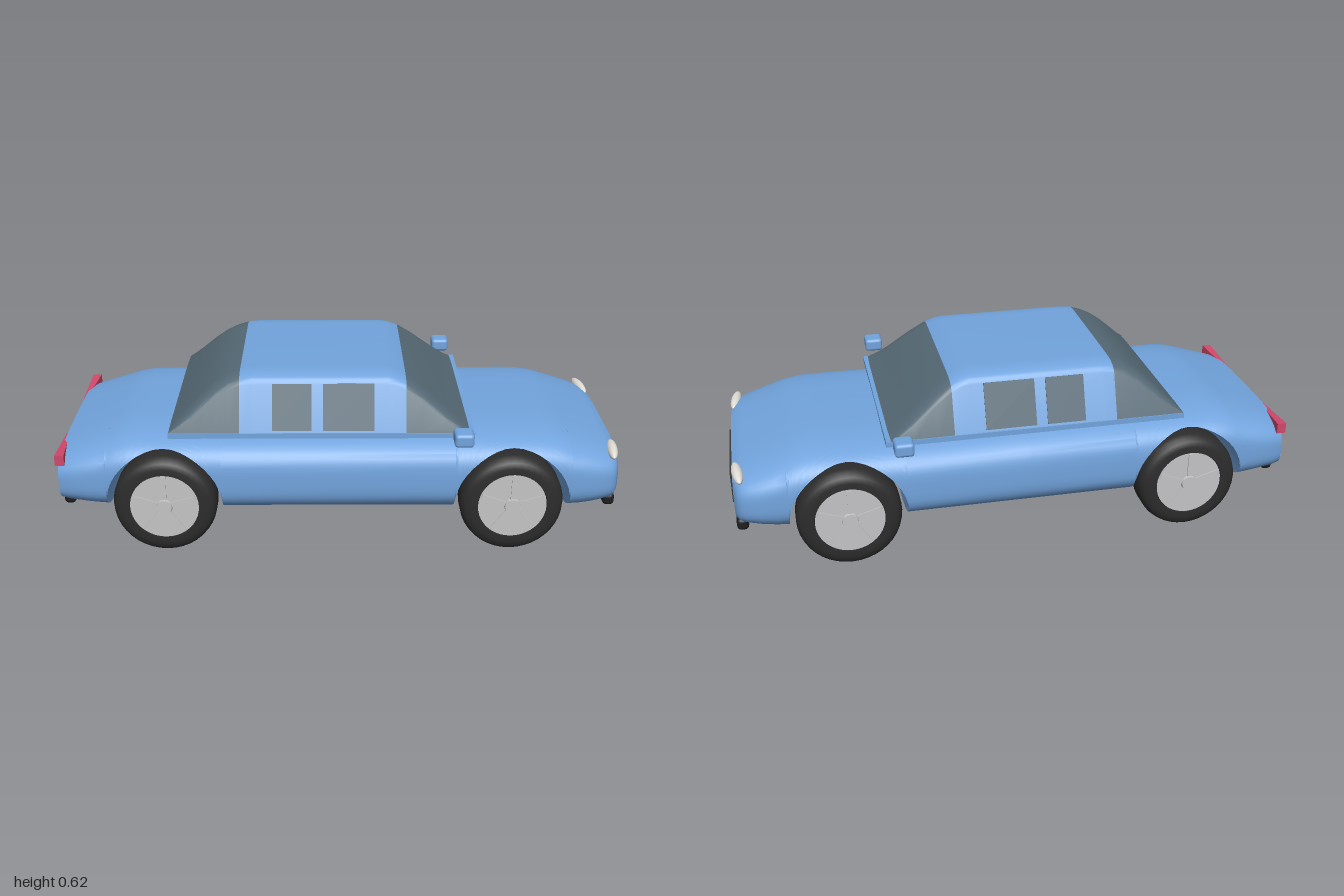
import * as THREE from 'three';
import { toCreasedNormals } from 'three/addons/utils/BufferGeometryUtils.js';
import { RoundedBoxGeometry } from 'three/addons/geometries/RoundedBoxGeometry.js';

const makeMaterial = (name, color) => {
  const m = new THREE.MeshStandardMaterial({ color });
  m.name = name;
  return m;
};

// piecewise-linear lookup through [x, value] pairs
function lookup(table, x) {
  for (let i = 1; i < table.length; i++) {
    const [x0, a] = table[i - 1], [x1, b] = table[i];
    if (x <= x1) return THREE.MathUtils.lerp(a, b, THREE.MathUtils.clamp((x - x0) / (x1 - x0), 0, 1));
  }
  return table[table.length - 1][1];
}

// skin closed rings of [x, y, z] that follow +x, with flat end caps
function loft(rings, crease = 0.6) {
  const n = rings[0].length, pos = rings.flat(2), index = [];
  for (let i = 0; i < rings.length - 1; i++) {
    for (let j = 0; j < n; j++) {
      const a = i * n + j, b = i * n + (j + 1) % n;
      index.push(a, a + n, b + n, a, b + n, b);
    }
  }
  [0, rings.length - 1].forEach((i) => {
    const centre = pos.length / 3;
    const mean = (k) => rings[i].reduce((s, p) => s + p[k], 0) / n;
    pos.push(mean(0), mean(1), mean(2));
    for (let j = 0; j < n; j++) {
      const a = i * n + j, b = i * n + (j + 1) % n;
      index.push(centre, ...(i === 0 ? [a, b] : [b, a]));
    }
  });
  const g = new THREE.BufferGeometry();
  g.setAttribute('position', new THREE.Float32BufferAttribute(pos, 3));
  g.setIndex(index);
  return toCreasedNormals(g, crease);
}

// half section [y, z] from bottom to top, mirrored into a ring
const mirrorRing = (x, half) => [
  ...half.map(([y, z]) => [x, y, z]),
  ...half.slice(0, -1).reverse().map(([y, z]) => [x, y, -z]),
];

// lower body
const AXLES = [-0.57, 0.615], ARCH_Y = 0.18, ARCH_R = 0.197;
const TOP = [[-0.93, 0.348], [-0.8, 0.39], [-0.73, 0.412], [-0.68, 0.42], [0.72, 0.42], [0.78, 0.41], [0.9, 0.37], [0.96, 0.35], [0.985, 0.335]];
const BOTTOM = [[-0.93, 0.15], [-0.77, 0.13], [-0.6, 0.12], [0.75, 0.12], [0.85, 0.127], [0.985, 0.15]];
const WIDTH = [[-0.93, 0.365], [-0.9, 0.378], [-0.83, 0.391], [-0.7, 0.402], [-0.5, 0.406], [0.7, 0.406], [0.82, 0.4], [0.9, 0.39], [0.95, 0.374], [0.97, 0.36], [0.985, 0.325]];

function bodyRing(x, cutY = 0) {
  const N = 28, E = 3.5;
  const top = lookup(TOP, x), bottom = lookup(BOTTOM, x), w = lookup(WIDTH, x);
  const low = Math.max(bottom, cutY), mid = (top + bottom) / 2, h = (top - bottom) / 2;
  const half = [];
  for (let k = 0; k <= N; k++) {
    const y = low + (top - low) * (1 - Math.cos(Math.PI * k / N)) / 2;
    const v = Math.min(1, Math.abs(y - mid) / h);
    half.push([y, w * Math.pow(1 - Math.pow(v, E), 1 / E)]);
  }
  return mirrorRing(x, half);
}

function bodyGeometry() {
  const rings = [-0.93, -0.9, -0.86, -0.83, -0.8].map((x) => bodyRing(x));
  AXLES.forEach((c, i) => {
    rings.push(bodyRing(c - ARCH_R));
    for (let k = 0; k <= 20; k++) {
      const a = Math.PI * (1 - k / 20);
      rings.push(bodyRing(c + ARCH_R * Math.cos(a), ARCH_Y + ARCH_R * Math.sin(a)));
    }
    rings.push(bodyRing(c + ARCH_R));
    if (i === 0) rings.push(bodyRing(0));
  });
  [0.85, 0.9, 0.93, 0.95, 0.96, 0.97, 0.985].forEach((x) => rings.push(bodyRing(x)));
  return loft(rings);
}

// cabin
const CABIN_BASE = 0.43, LEAN = 0.37;
const ROOF = [[-0.55, 0.432], [-0.51, 0.472], [-0.47, 0.51], [-0.43, 0.546], [-0.39, 0.576], [-0.35, 0.598], [-0.31, 0.612], [-0.27, 0.617],
  [0.19, 0.617], [0.22, 0.61], [0.25, 0.597], [0.305, 0.56], [0.385, 0.495], [0.44, 0.45], [0.465, 0.432]];
const sideZ = (y) => 0.365 - LEAN * (y - 0.42);

function cabinGeometry(x0, x1) {
  const xs = ROOF.map((p) => p[0]).filter((x) => x >= x0 && x <= x1);
  return loft(xs.map((x) => {
    const top = lookup(ROOF, x), k = Math.min(0.032, (top - CABIN_BASE) * 0.4);
    const y = top - k, z = sideZ(y), half = [[CABIN_BASE, 0], [CABIN_BASE, sideZ(CABIN_BASE)]];
    // rounded roof edge
    for (let i = 0; i <= 8; i++) {
      const t = i / 8, u = 1 - t;
      half.push([u * u * y + (1 - u * u) * (top - 0.002 * u), u * u * z + 2 * u * t * (z - 0.012) + t * t * (z - 0.09)]);
    }
    half.push([top, 0]);
    return mirrorRing(x, half);
  }), 0.5);
}

export function createModel() {
  const car = new THREE.Group();
  car.name = 'car';
  const paint = makeMaterial('blue paint', 0x72a4dd);
  const glass = makeMaterial('tinted glass', 0x566a76);
  const rubber = makeMaterial('tyre rubber', 0x2c2c2c);
  const trim = makeMaterial('black trim', 0x1f1f1f);
  const grilleGrey = makeMaterial('grille grey', 0x3a3a3a);
  const silver = makeMaterial('silver', 0xc4c4c6);
  const lamp = makeMaterial('headlight white', 0xe2dfd8);
  const red = makeMaterial('tail light red', 0xd0486a);

  const add = (name, geometry, material, x = 0, y = 0, z = 0, parent = car) => {
    const mesh = new THREE.Mesh(geometry, material);
    mesh.name = name;
    mesh.position.set(x, y, z);
    parent.add(mesh);
    return mesh;
  };

  add('body', bodyGeometry(), paint);
  add('cabinSill', new THREE.BoxGeometry(1.03, 0.018, 0.728), paint, -0.035, 0.423, 0);
  add('rearWindow', cabinGeometry(-0.55, -0.31), glass);
  add('cabin', cabinGeometry(-0.31, 0.25), paint);
  add('windscreen', cabinGeometry(0.25, 0.465), glass);

  // tyre profile and wheel parts
  const tyrePoints = [[0, -0.0625], [0.14, -0.0625], [0.16, -0.058], [0.172, -0.046], [0.177, -0.028],
    [0.177, 0.028], [0.172, 0.046], [0.16, 0.058], [0.14, 0.0625], [0.118, 0.0625], [0.115, 0.052]];
  const tyre = toCreasedNormals(new THREE.LatheGeometry(tyrePoints.map(([r, y]) => new THREE.Vector2(r, y)), 40).rotateX(Math.PI / 2), 0.7);
  const rim = new THREE.CylinderGeometry(0.117, 0.117, 0.02, 40).rotateX(Math.PI / 2);
  const hub = new THREE.CylinderGeometry(0.026, 0.03, 0.02, 20).rotateX(Math.PI / 2);
  const spoke = new THREE.BoxGeometry(0.1, 0.016, 0.006).translate(0.062, 0, 0);

  for (const side of [1, -1]) {
    const label = side > 0 ? 'Left' : 'Right';
    AXLES.forEach((x, i) => {
      const wheel = new THREE.Group();
      wheel.name = (i ? 'front' : 'rear') + label + 'Wheel';
      wheel.position.set(x, 0.177, side * 0.3425);
      wheel.rotation.y = side > 0 ? 0 : Math.PI;
      add('tyre', tyre, rubber, 0, 0, 0, wheel);
      add('rim', rim, silver, 0, 0, 0.05, wheel);
      add('hub', hub, silver, 0, 0, 0.06, wheel);
      for (let k = 0; k < 5; k++) add('spoke', spoke, silver, 0, 0, 0.061, wheel).rotation.z = k * Math.PI * 0.4 + 0.3;
      car.add(wheel);
    });

    // side windows lie on the leaning cabin wall
    [[-0.2, -0.068], [-0.03, 0.143]].forEach(([a, b]) => {
      const pane = add('sideWindow', new THREE.BoxGeometry(b - a, 0.148 * Math.hypot(1, LEAN), 0.006), glass, (a + b) / 2, 0.513, side * sideZ(0.513));
      pane.rotation.x = -side * Math.atan(LEAN);
    });

    add('mirror' + label, new RoundedBoxGeometry(0.064, 0.047, 0.07, 3, 0.012), paint, 0.432, 0.453, side * 0.444);

    const headlight = add('headlight' + label, new THREE.SphereGeometry(1, 28, 16), lamp, 0.967, 0.332, side * 0.283);
    headlight.scale.set(0.018, 0.018, 0.072);
    headlight.rotation.y = -side * 0.12;

    // tail light tapers toward the middle of the car
    const tail = new THREE.BoxGeometry(0.032, 0.037, 0.21);
    const p = tail.attributes.position;
    for (let i = 0; i < p.count; i++) {
      if (p.getZ(i) * side < 0) p.setXYZ(i, p.getX(i) > 0 ? -0.004 : p.getX(i), p.getY(i) > 0 ? 0.006 : p.getY(i), p.getZ(i));
    }
    tail.computeVertexNormals();
    add('tailLight' + label, tail, red, -0.921, 0.333, side * 0.26);
  }

  // nose, bumpers and exhaust
  add('grille', new THREE.BoxGeometry(0.03, 0.108, 0.342), grilleGrey, 0.982, 0.215, 0);
  add('frontBumper', new RoundedBoxGeometry(0.04, 0.045, 0.64, 3, 0.015), trim, 0.966, 0.153, 0);
  add('rearBumper', new RoundedBoxGeometry(0.04, 0.04, 0.6, 3, 0.015), trim, -0.915, 0.152, 0);
  add('exhaust', new THREE.CylinderGeometry(0.025, 0.025, 0.12, 24).rotateZ(Math.PI / 2), silver, -0.94, 0.15, -0.21);
  return car;
}
